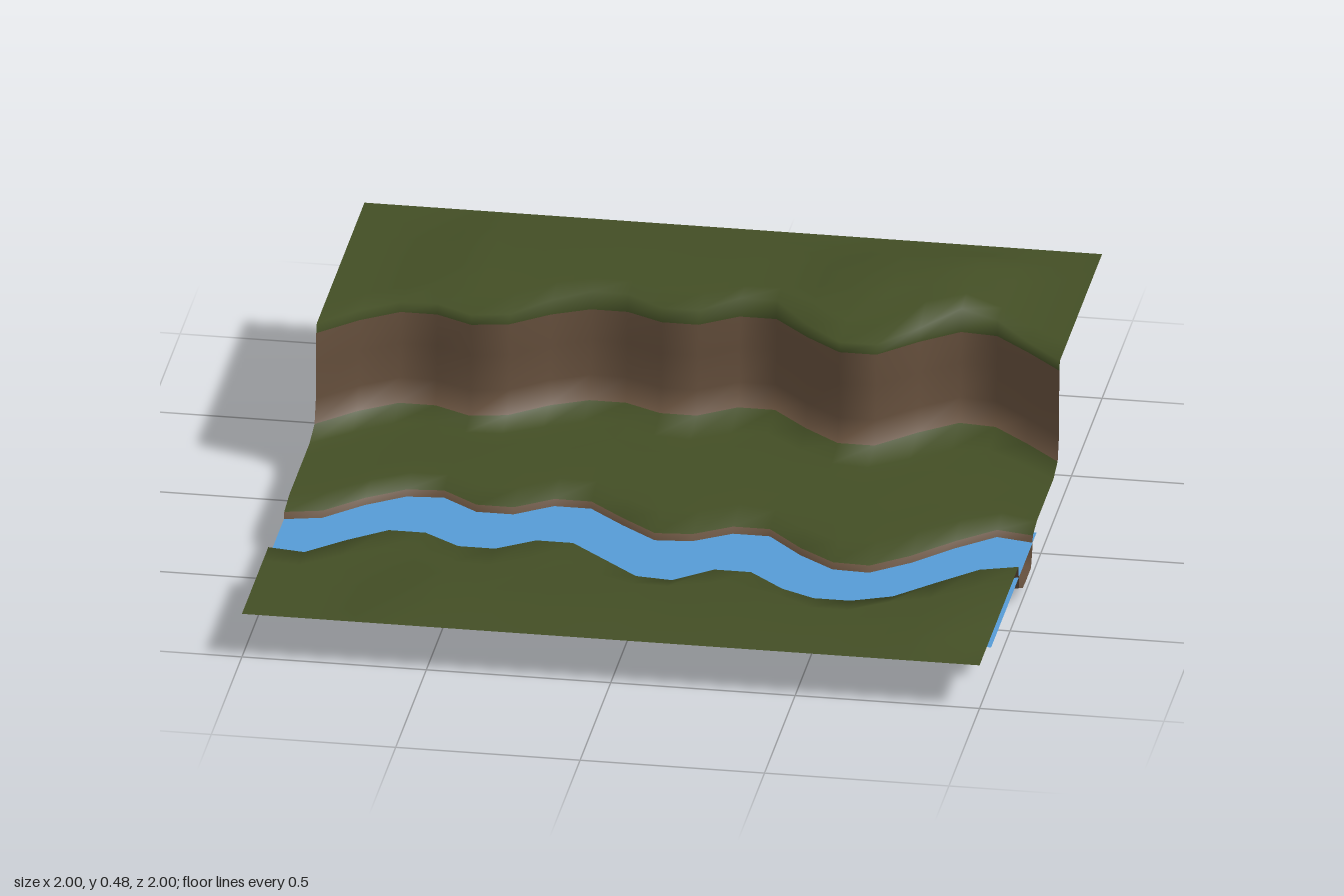
import * as THREE from 'three';

const mat = (name, color) =>
  new THREE.MeshStandardMaterial({ name, color, side: THREE.DoubleSide });

// outlines of the river banks and the cliff, one z value for every 0.1 along x
const SOUTH = [.57, .585, .49, .41, .41, .48, .48, .41, .41, .5, .59, .6, .515, .515, .61, .7, .7, .61, .5, .4, .365];
const NORTH = [.31, .285, .185, .115, .105, .18, .18, .11, .11, .2, .28, .27, .205, .205, .31, .385, .39, .31, .2, .11, .13];
const CLIFF = [-.21, -.31, -.38, -.38, -.33, -.35, -.43, -.48, -.48, -.43, -.43, -.5, -.5, -.4, -.32, -.32, -.42, -.5, -.49, -.4, -.3];
const COLS = SOUTH.length;
const xAt = (i) => -1 + i * 0.1;

// rises from 0 to 1 between a and b, falls back between c and d
const ramp = (v, a, b, c, d) =>
  THREE.MathUtils.clamp(Math.min((v - a) / (b - a), (d - v) / (d - c)), 0, 1);

const southHeight = (x, z) => 0.127 + 0.023 * ramp(x, -.7, -.6, .9, 1) * ramp(z, .6, .7, .9, 1);
const terraceHeight = (x, z) => 0.125 + 0.008 * ramp(x, -.8, -.5, .6, .9) * ramp(z, -.3, -.15, -.05, .1);
const plateauHeight = (x, z) => 0.425
  + 0.025 * ramp(x, -.8, -.7, .75, .9) * ramp(z, -.95, -.85, -.5, -.38)
  + 0.028 * ramp(x, .28, .38, .68, .78) * ramp(z, -.9, -.8, -.55, -.45);

export function createModel() {
  const group = new THREE.Group();
  group.name = 'riverTerrain';
  const grass = mat('grass', 0x434e25);
  const earth = mat('earth', 0x654f3c);
  const waterBlue = mat('water', 0x569bd5);

  // rows run from front to back; each gives [z, y] for a column
  const rows = [];
  const parts = [];
  const section = (name, material, list) => {
    const start = Math.max(rows.length - 1, 0);
    rows.push(...list);
    parts.push({ name, material, start, end: rows.length - 1 });
  };
  // evenly spaced rows of open ground between two outlines
  const ground = (from, to, height, first, last, steps) => {
    const list = [];
    for (let k = first; k <= last; k++) {
      list.push((i) => {
        const z = THREE.MathUtils.lerp(from(i), to(i), k / steps);
        return [z, height(xAt(i), z)];
      });
    }
    return list;
  };

  section('frontMeadow', grass, ground(() => 1, (i) => SOUTH[i], southHeight, 0, 5, 5));

  // channel, deeper in its middle stretch
  const bed = (i) => 0.03 * (1 - ramp(xAt(i), -.4, -.3, .2, .3));
  section('riverbed', earth, [
    (i) => [SOUTH[i] - 0.012, 0.06],
    (i) => [SOUTH[i] - 0.07, 0.03 + bed(i) * 0.1],
    (i) => [SOUTH[i] - 0.12, bed(i)],
    (i) => [NORTH[i] + 0.08, bed(i)],
    (i) => [NORTH[i] + 0.03, 0.03],
    (i) => [NORTH[i] + 0.01, 0.07],
    (i) => [NORTH[i], 0.112],
  ]);

  section('terrace', grass, [
    ...ground((i) => NORTH[i], (i) => CLIFF[i] + 0.025, terraceHeight, 1, 5, 6),
    (i) => [CLIFF[i] + 0.025, 0.145],
  ]);

  section('cliff', earth, [
    (i) => [CLIFF[i] + 0.003, 0.21],
    (i) => [CLIFF[i], 0.31],
    (i) => [CLIFF[i] - 0.003, 0.4],
  ]);

  section('plateau', grass, ground((i) => CLIFF[i] - 0.012, () => -1, plateauHeight, 0, 6, 6));

  // one shared surface, so shading flows smoothly between the parts
  const positions = rows.flatMap((row) =>
    Array.from({ length: COLS }, (_, i) => {
      const [z, y] = row(i);
      return [xAt(i), y, z];
    }).flat());
  const stripIndex = (start, end) => {
    const index = [];
    for (let r = start; r < end; r++) {
      for (let i = 0; i < COLS - 1; i++) {
        const a = r * COLS + i, b = a + 1, c = a + COLS, d = c + 1;
        index.push(a, b, d, a, d, c);
      }
    }
    return index;
  };
  const surface = new THREE.BufferGeometry();
  surface.setAttribute('position', new THREE.Float32BufferAttribute(positions, 3));
  surface.setIndex(stripIndex(0, rows.length - 1));
  surface.computeVertexNormals();

  for (const { name, material, start, end } of parts) {
    const piece = surface.clone();
    piece.setIndex(stripIndex(start, end));
    const mesh = new THREE.Mesh(piece.toNonIndexed(), material);
    mesh.name = name;
    group.add(mesh);
  }

  // flat sheet of water running under the banks
  const water = new THREE.Mesh(new THREE.PlaneGeometry(2, 0.74).rotateX(-Math.PI / 2), waterBlue);
  water.name = 'water';
  water.position.set(0, 0.093, 0.44);
  group.add(water);

  return group;
}
